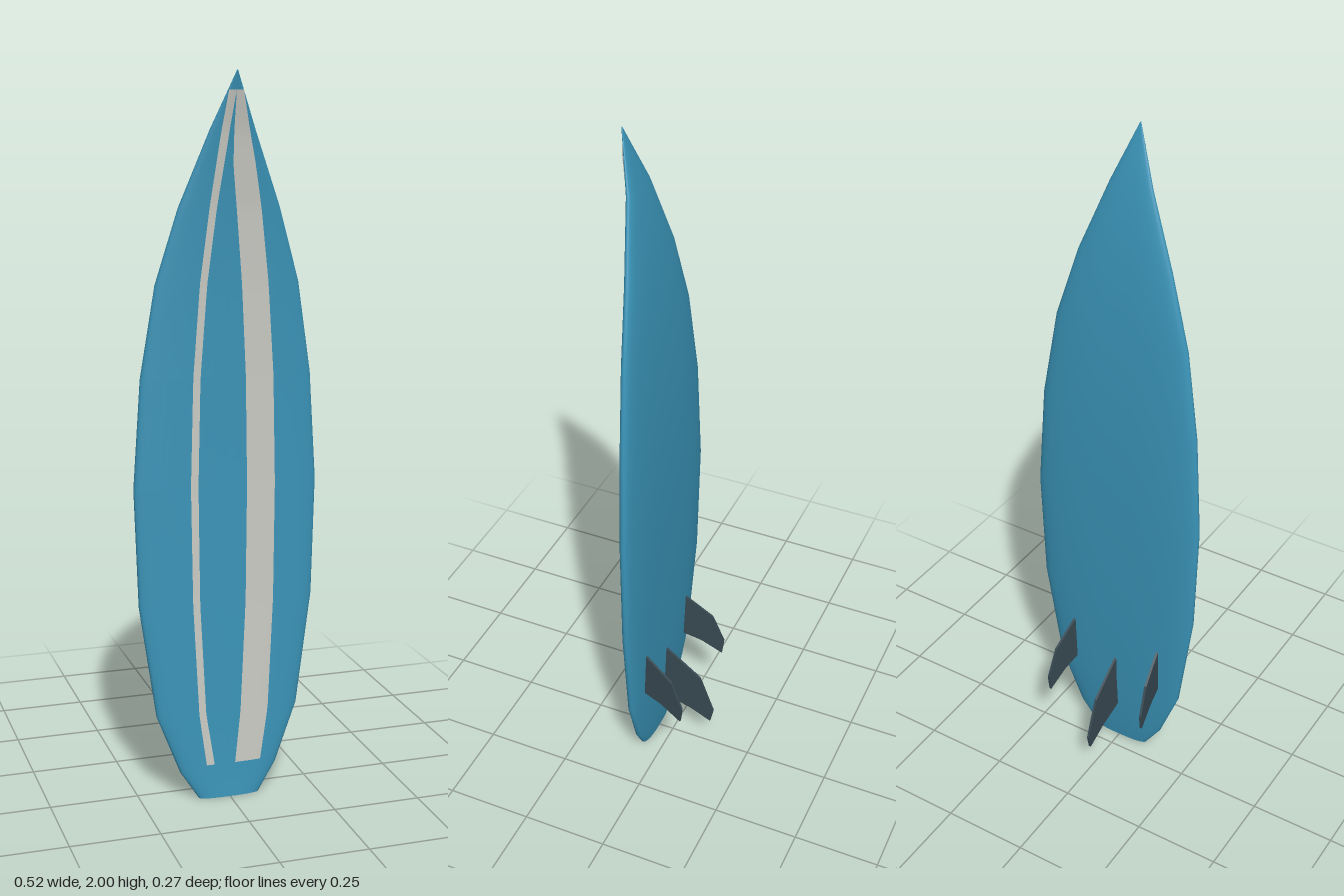
import * as THREE from 'three';

const boardBlue = new THREE.MeshStandardMaterial({ name: 'boardBlue', color: 0x3a94b8 });
const stripeGrey = new THREE.MeshStandardMaterial({ name: 'stripeGrey', color: 0xcbcbc5, side: THREE.DoubleSide });
const finGrey = new THREE.MeshStandardMaterial({ name: 'finGrey', color: 0x394a54 });

// Stations up the board: y, half width, back z, deck z
const STATIONS = [
  [0, 0.088, 0.045, 0.08], [0.08, 0.14, 0.035, 0.075], [0.25, 0.205, 0.023, 0.07],
  [0.57, 0.25, 0.011, 0.064], [0.9, 0.26, 0.006, 0.061], [1.2, 0.24, 0.011, 0.063],
  [1.45, 0.2, 0.025, 0.07], [1.65, 0.14, 0.045, 0.082], [1.85, 0.062, 0.082, 0.104],
  [2, 0.001, 0.132, 0.135],
];
const ROUND = 2.6; // superellipse exponent of the cross-section

// Linear lookup in rows whose first entry is y
function sample(rows, y) {
  let i = 0;
  while (i < rows.length - 2 && y > rows[i + 1][0]) i++;
  const t = (y - rows[i][0]) / (rows[i + 1][0] - rows[i][0]);
  return rows[i].map((v, k) => THREE.MathUtils.lerp(v, rows[i + 1][k], t));
}

function deckZ(x, y) {
  const [, w, back, front] = sample(STATIONS, y);
  const t = Math.min(Math.abs(x) / w, 1);
  return (back + front) / 2 + (front - back) / 2 * Math.pow(1 - Math.pow(t, ROUND), 1 / ROUND);
}

function makeGeometry(pos, idx) {
  const g = new THREE.BufferGeometry();
  g.setAttribute('position', new THREE.Float32BufferAttribute(pos, 3));
  g.setIndex(idx);
  g.computeVertexNormals();
  return g;
}

// Lofted hull with a flat tail cut
function boardGeometry() {
  const N = 48, pos = [], idx = [];
  const bend = (v) => Math.sign(v) * Math.pow(Math.abs(v), 2 / ROUND);
  const ring = ([y, w, back, front]) => {
    for (let j = 0; j < N; j++) {
      const a = (j / N) * Math.PI * 2;
      pos.push(w * bend(Math.cos(a)), y, (back + front) / 2 + (front - back) / 2 * bend(Math.sin(a)));
    }
  };
  STATIONS.forEach(ring);
  for (let i = 0; i < STATIONS.length - 1; i++) {
    for (let j = 0; j < N; j++) {
      const a = i * N + j, b = i * N + (j + 1) % N;
      idx.push(a, a + N, b, b, a + N, b + N);
    }
  }
  const start = STATIONS.length * N;
  ring(STATIONS[0]);
  pos.push(0, 0, (STATIONS[0][2] + STATIONS[0][3]) / 2);
  for (let j = 0; j < N; j++) idx.push(start + N, start + j, start + (j + 1) % N);
  return makeGeometry(pos, idx);
}

// Thin painted strip following the deck; rows are y, left edge x, right edge x
function stripeGeometry(rows) {
  const U = 6, V = 60, pos = [], idx = [];
  const y0 = rows[0][0], y1 = rows[rows.length - 1][0];
  for (let i = 0; i <= V; i++) {
    const y = THREE.MathUtils.lerp(y0, y1, i / V);
    const [, xa, xb] = sample(rows, y);
    for (let j = 0; j <= U; j++) {
      const x = THREE.MathUtils.lerp(xa, xb, j / U);
      pos.push(x, y, deckZ(x, y) + 0.003);
      if (i < V && j < U) {
        const a = i * (U + 1) + j, c = a + U + 1;
        idx.push(a, a + 1, c, a + 1, c + 1, c);
      }
    }
  }
  return makeGeometry(pos, idx);
}

// Fin blade from a (z, y) outline, thin along x
function finGeometry(outline) {
  const shape = new THREE.Shape(outline.map(([z, y]) => new THREE.Vector2(-z, y)));
  const g = new THREE.ExtrudeGeometry(shape, { depth: 0.007, bevelEnabled: false });
  g.translate(0, 0, -0.0035);
  g.rotateY(Math.PI / 2); // shape x becomes -z
  return g;
}

export function createModel() {
  const model = new THREE.Group();
  model.name = 'surfboard';
  const add = (name, geometry, material) => {
    const mesh = new THREE.Mesh(geometry, material);
    mesh.name = name;
    model.add(mesh);
    return mesh;
  };

  add('board', boardGeometry(), boardBlue);

  // Deck stripes
  add('narrowStripe', stripeGeometry([
    [0.1, -0.068, -0.045], [0.25, -0.088, -0.068], [0.57, -0.103, -0.083], [0.9, -0.107, -0.086],
    [1.2, -0.1, -0.08], [1.45, -0.083, -0.063], [1.65, -0.06, -0.04], [1.82, -0.038, -0.016], [1.95, -0.02, 0],
  ]), stripeGrey);
  add('wideStripe', stripeGeometry([
    [0.1, 0.015, 0.09], [0.25, 0.032, 0.113], [0.57, 0.048, 0.129], [0.9, 0.052, 0.133],
    [1.2, 0.047, 0.126], [1.45, 0.033, 0.108], [1.65, 0.014, 0.083], [1.76, 0.001, 0.063],
    [1.85, 0, 0.043], [1.95, 0, 0.02],
  ]), stripeGrey);

  // Centre fin and two canted side fins
  add('centreFin', finGeometry([
    [0.03, 0.345], [-0.09, 0.255], [-0.135, 0.135], [-0.125, 0.09], [-0.06, 0.12], [0.03, 0.145],
  ]), finGrey);
  const side = finGeometry([
    [0.03, 0.435], [-0.065, 0.365], [-0.102, 0.275], [-0.096, 0.225], [-0.03, 0.262], [0.03, 0.28],
  ]);
  for (const s of [1, -1]) {
    const fin = add(s > 0 ? 'leftFin' : 'rightFin', side, finGrey);
    fin.position.x = s * 0.146;
    fin.rotation.y = -s * 0.145;
  }
  return model;
}
